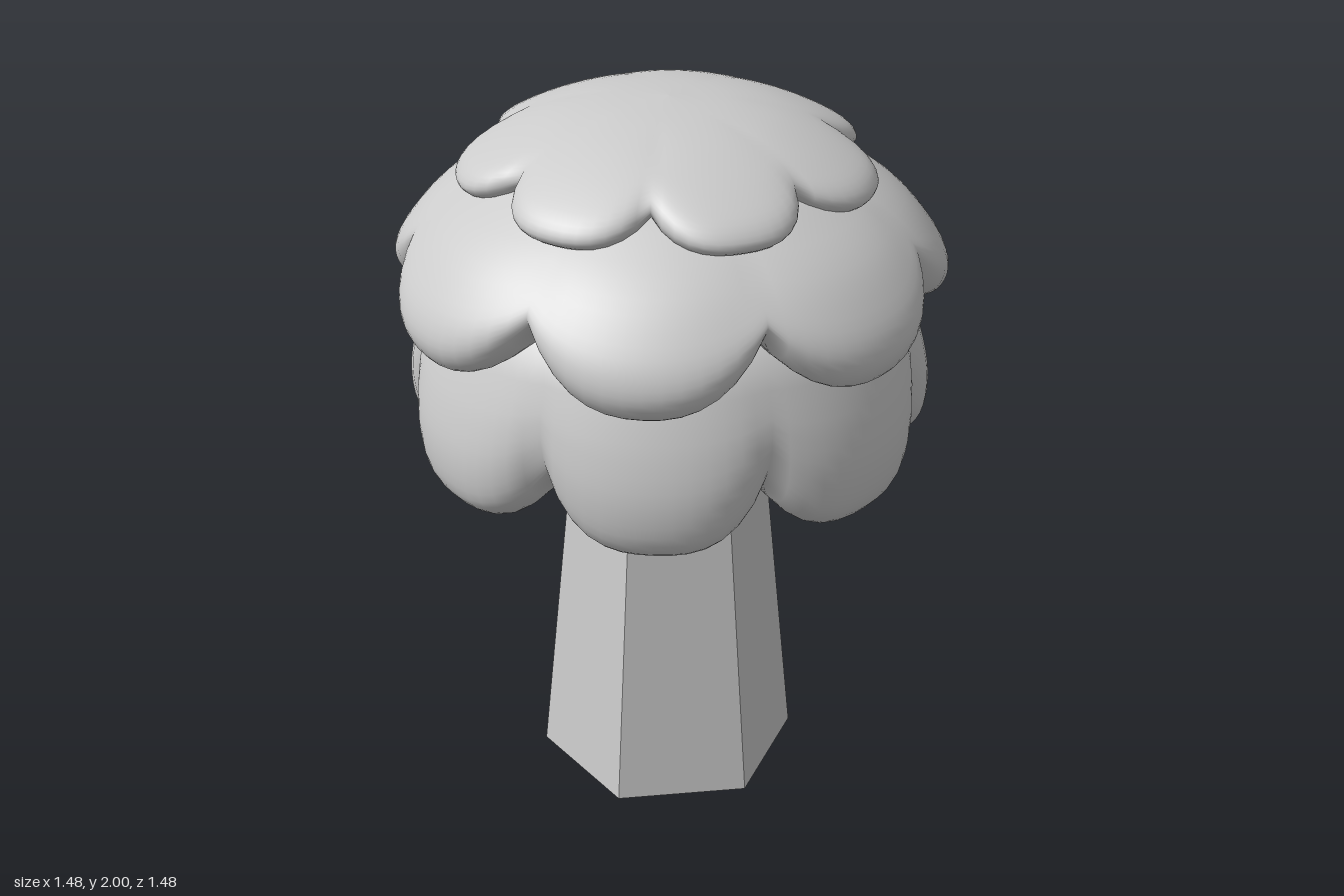
import * as THREE from 'three';

const LOBES = 7, COLS = 14, ROWS = 36;
const material = new THREE.MeshStandardMaterial({ color: 0xcccccc, roughness: 0.8 });
const curve = (pts) => new THREE.SplineCurve(pts.map(([r, y]) => new THREE.Vector2(r, y)));

// Scalloped leaf tier: a ring of sections blended from the notch profile to the lobe profile
function leafTier(name, notchAngle, power, lobePts, notchPts) {
  const lobe = curve(lobePts), notch = curve(notchPts);
  const total = LOBES * COLS, pos = [], idx = [];
  for (let i = 0; i < total; i++) {
    const u = ((i % COLS) / COLS) * 2 - 1; // -1 at a notch, 0 at the lobe centre
    const f = 1 - Math.abs(u) ** power;
    const a = THREE.MathUtils.degToRad(notchAngle) + (i / total) * Math.PI * 2;
    for (let k = 0; k <= ROWS; k++) {
      const p = notch.getPoint(k / ROWS).lerp(lobe.getPoint(k / ROWS), f);
      pos.push(p.x * Math.cos(a), p.y, p.x * Math.sin(a));
      if (k === ROWS) continue;
      const A = i * (ROWS + 1) + k, C = ((i + 1) % total) * (ROWS + 1) + k;
      if (k > 0) idx.push(A, C, A + 1);
      if (k < ROWS - 1 || k === 0) idx.push(C, C + 1, A + 1);
    }
  }
  const geo = new THREE.BufferGeometry();
  geo.setAttribute('position', new THREE.Float32BufferAttribute(pos, 3));
  geo.setIndex(idx);
  geo.computeVertexNormals();
  const mesh = new THREE.Mesh(geo, material);
  mesh.name = name;
  return mesh;
}

export function createModel() {
  const tree = new THREE.Group();
  tree.name = 'tree';

  // Tapered six-sided trunk with one edge facing forward
  const trunkMaterial = material.clone();
  trunkMaterial.flatShading = true;
  const trunk = new THREE.Mesh(new THREE.CylinderGeometry(0.253, 0.365, 1.13, 6), trunkMaterial);
  trunk.position.y = 0.565;
  trunk.name = 'trunk';
  tree.add(trunk);

  // Profiles run from the top centre, over the rim, to the underside centre as [radius, height]
  tree.add(leafTier('lowerLeaves', -7, 3,
    [[0, 1.75], [0.35, 1.7], [0.58, 1.55], [0.66, 1.4], [0.7, 1.27], [0.712, 1.17], [0.7, 1.08],
      [0.66, 1.03], [0.6, 1.01], [0.53, 1.03], [0.47, 1.08], [0.38, 1.11], [0, 1.12]],
    [[0, 1.75], [0.35, 1.7], [0.58, 1.55], [0.645, 1.42], [0.66, 1.34], [0.655, 1.28], [0.64, 1.23],
      [0.62, 1.2], [0.59, 1.18], [0.55, 1.16], [0.49, 1.14], [0.38, 1.12], [0, 1.12]]));

  tree.add(leafTier('middleLeaves', -5, 2.5,
    [[0, 1.88], [0.35, 1.86], [0.5, 1.8], [0.62, 1.72], [0.7, 1.63], [0.74, 1.56], [0.747, 1.5],
      [0.72, 1.45], [0.67, 1.433], [0.62, 1.45], [0.56, 1.5], [0.4, 1.55], [0, 1.55]],
    [[0, 1.88], [0.35, 1.86], [0.49, 1.8], [0.58, 1.74], [0.64, 1.69], [0.665, 1.66], [0.665, 1.64],
      [0.65, 1.62], [0.62, 1.6], [0.58, 1.58], [0.52, 1.56], [0.4, 1.55], [0, 1.55]]));

  tree.add(leafTier('upperLeaves', 21.5, 2.8,
    [[0, 2], [0.15, 1.99], [0.28, 1.965], [0.39, 1.925], [0.48, 1.88], [0.53, 1.845], [0.55, 1.81],
      [0.53, 1.785], [0.49, 1.775], [0.44, 1.78], [0.4, 1.79], [0.3, 1.8], [0, 1.8]],
    [[0, 2], [0.15, 1.99], [0.27, 1.965], [0.36, 1.935], [0.405, 1.91], [0.43, 1.885], [0.435, 1.865],
      [0.425, 1.85], [0.4, 1.835], [0.38, 1.82], [0.35, 1.81], [0.3, 1.8], [0, 1.8]]));

  return tree;
}
